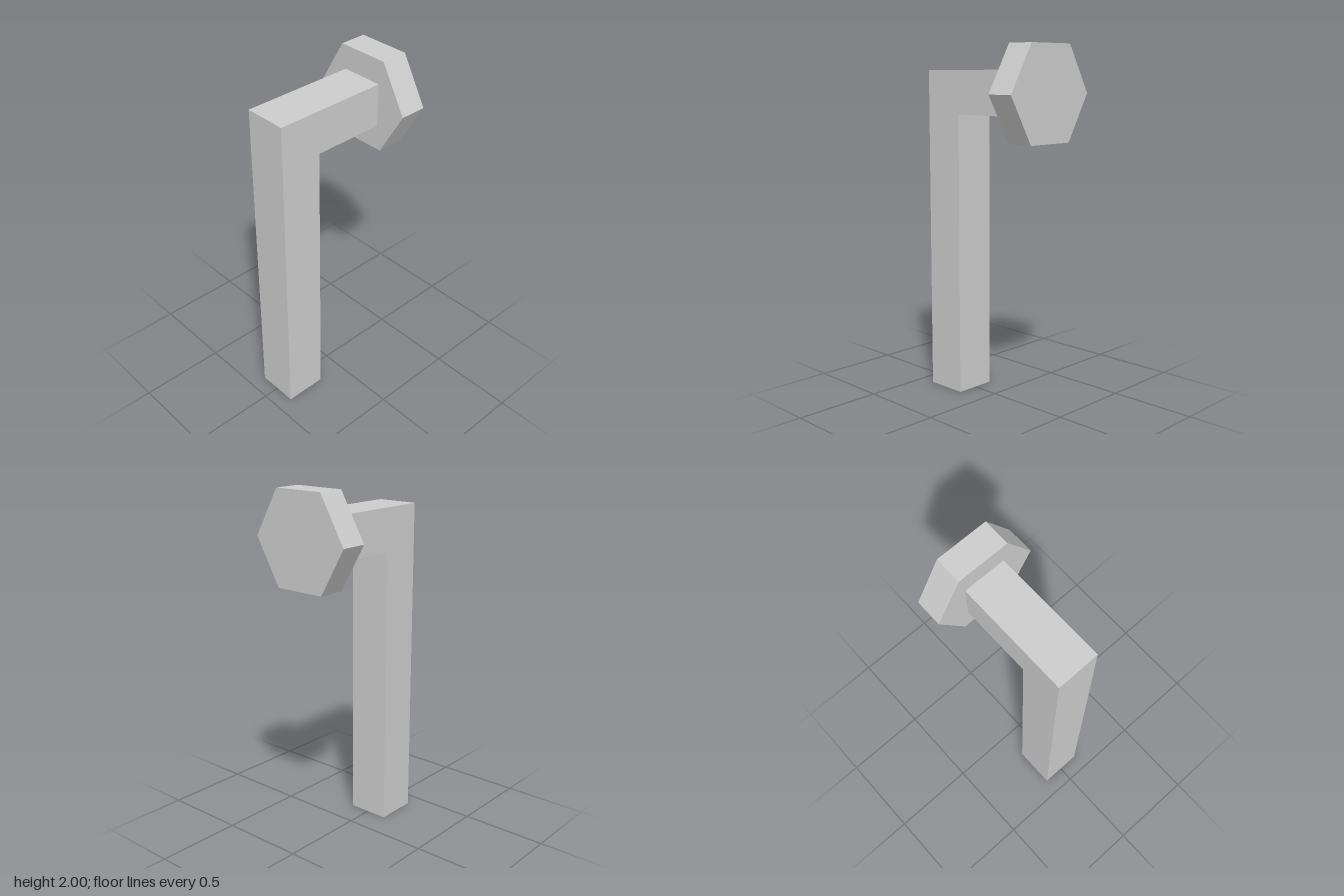
import * as THREE from 'three';

export function createModel() {
  const model = new THREE.Group();
  const metal = new THREE.MeshStandardMaterial({ color: 0xcccccc, flatShading: true });
  metal.name = 'light grey metal';

  // L-shaped square bar: side profile as [z, y], extruded across x
  const width = 0.244;
  const profile = [
    [0.406, 0], [0.163, 0], [0.163, 1.62], [-0.25, 1.62], [-0.25, 1.864], [0.406, 1.864],
  ];
  const shape = new THREE.Shape(profile.map(([z, y]) => new THREE.Vector2(-z, y)));
  const barGeometry = new THREE.ExtrudeGeometry(shape, { depth: width, bevelEnabled: false });
  barGeometry.rotateY(Math.PI / 2).translate(-width / 2, 0, 0);
  const bar = new THREE.Mesh(barGeometry, metal);
  bar.name = 'handleBar';
  model.add(bar);

  // Hexagonal mounting plate at the back, corners pointing sideways
  const plateGeometry = new THREE.CylinderGeometry(0.3, 0.3, 0.156, 6);
  plateGeometry.rotateY(Math.PI / 2).rotateX(Math.PI / 2);
  const plate = new THREE.Mesh(plateGeometry, metal);
  plate.name = 'mountingPlate';
  plate.position.set(0, 1.74, -0.328);
  model.add(plate);

  return model;
}
